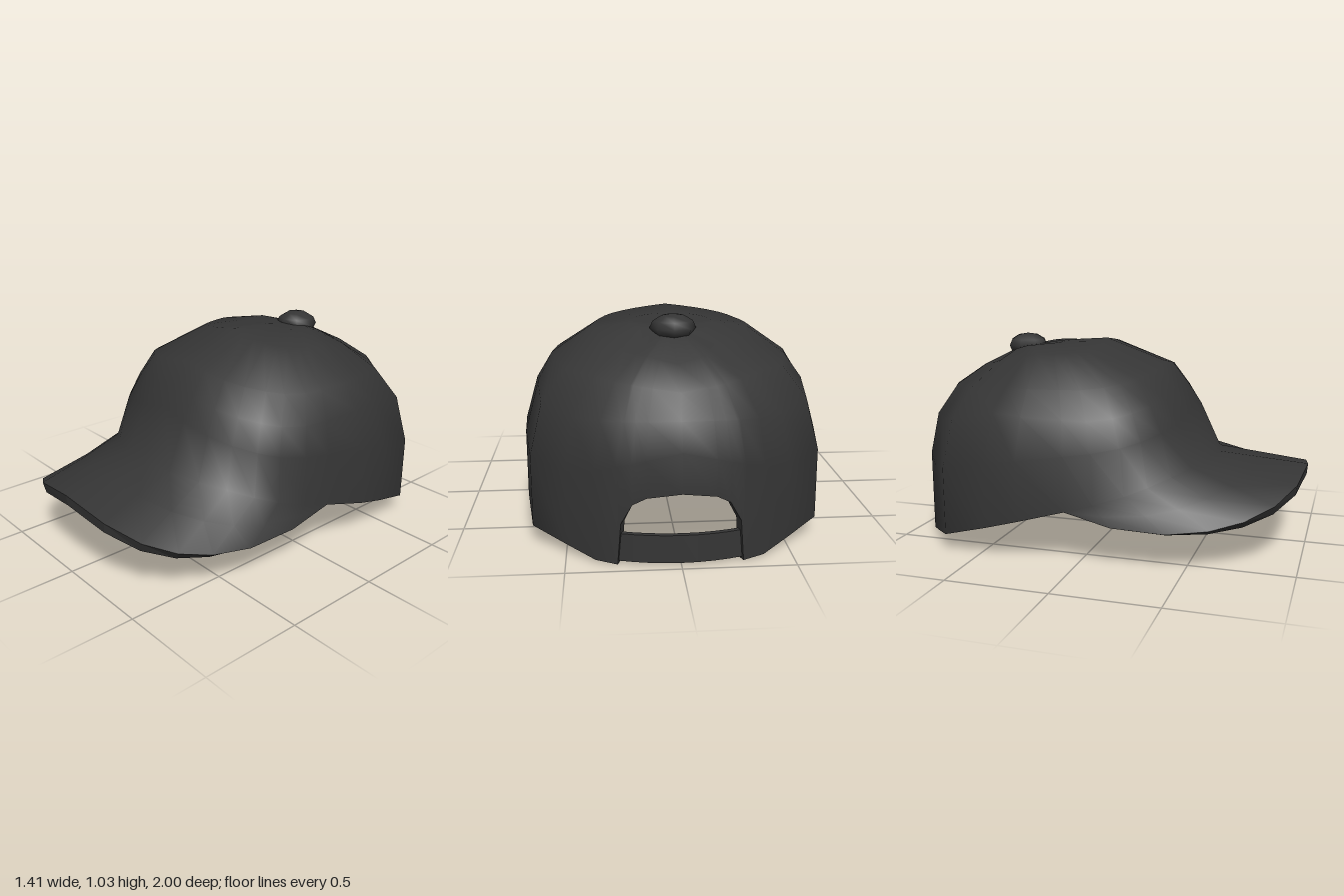
import * as THREE from 'three';

const fabric = new THREE.MeshStandardMaterial({ color: 0x353535 });
fabric.name = 'charcoal fabric';

const APEX = new THREE.Vector3(0, 0.96, -0.5);
const THICKNESS = 0.053;

// Left half of the crown's lower edge, front centre to back centre; the back rises into the arch
const rimHalf = [
  [0, 0.445, 0.54], [0.17, 0.44, 0.525], [0.33, 0.428, 0.475], [0.45, 0.405, 0.405],
  [0.545, 0.372, 0.315], [0.605, 0.338, 0.22], [0.648, 0.297, 0.08], [0.675, 0.26, -0.05],
  [0.705, 0.2, -0.28], [0.69, 0.15, -0.45], [0.655, 0.085, -0.68], [0.5, 0.045, -0.806],
  [0.37, 0.01, -0.903], [0.275, 0, -0.935], [0.26, 0.19, -0.943], [0.21, 0.28, -0.955],
  [0.15, 0.312, -0.967], [0, 0.338, -0.998],
];
// Outer edge of the brim, one point for each of the first rim points
const brimHalf = [
  [0, 0.41, 0.998], [0.27, 0.365, 0.97], [0.43, 0.3, 0.885], [0.53, 0.245, 0.76],
  [0.59, 0.205, 0.61], [0.635, 0.185, 0.42], [0.66, 0.2, 0.17],
];
// Crown profiles by direction; rows are [height, reach from the apex, forward shift]
const profiles = [
  { angle: 0, rows: [[0.995, 0.22, 0], [1.01, 0.43, 0], [0.9, 0.73, 0], [0.8, 0.81, 0], [0.7, 0.88, 0]] },
  { angle: 45, rows: [[0.985, 0.25, 0.01], [0.955, 0.52, 0.02], [0.81, 0.82, 0], [0.67, 0.91, 0], [0.54, 0.97, 0]] },
  { angle: 85, rows: [[0.975, 0.28, 0.06], [0.945, 0.53, 0.12], [0.81, 0.8, 0.08], [0.7, 0.91, 0.04], [0.47, 1, 0]] },
  { angle: 120, rows: [[0.94, 0.2, 0.03], [0.885, 0.45, 0.03], [0.785, 0.72, 0.02], [0.62, 0.92, 0], [0.38, 1, 0]] },
  { angle: 180, rows: [[0.925, 0.2, 0], [0.84, 0.52, 0], [0.75, 0.79, 0], [0.64, 0.91, 0], [0.52, 1, 0]] },
];

const lerp = THREE.MathUtils.lerp;

// Points of one column from below the apex to the rim, then out along the brim
function column(rim, brim) {
  const dx = rim[0] - APEX.x, dz = rim[2] - APEX.z;
  const angle = THREE.MathUtils.radToDeg(Math.atan2(dx, dz));
  const k = Math.max(1, profiles.findIndex((p) => p.angle >= angle));
  const from = profiles[k - 1], to = profiles[k];
  const t = (angle - from.angle) / (to.angle - from.angle);
  const pts = from.rows.map((row, i) => {
    const [y, reach, shift] = row.map((v, j) => lerp(v, to.rows[i][j], t));
    return [APEX.x + dx * reach, y, APEX.z + dz * reach + shift];
  });
  pts.push(rim);
  if (brim) {
    pts.push(rim.map((v, j) => lerp(v, brim[j], 0.5)));
    pts.push(brim);
  }
  return pts;
}

function addMesh(group, geometry, name) {
  const mesh = new THREE.Mesh(geometry, fabric);
  mesh.name = name;
  group.add(mesh);
  return mesh;
}

function makeGeometry(positions, index) {
  const g = new THREE.BufferGeometry();
  g.setAttribute('position', new THREE.Float32BufferAttribute(positions, 3));
  if (index) g.setIndex(index);
  g.computeVertexNormals();
  return g;
}

function buildShell(group) {
  const half = rimHalf.map((r, i) => column(r, brimHalf[i]));
  const mirrored = half.slice(1, -1).reverse().map((c) => c.map(([x, y, z]) => [-x, y, z]));
  const columns = [...half, ...mirrored];
  const n = columns.length;

  // Shared vertices: apex first, then column by column
  const positions = APEX.toArray();
  const starts = columns.map((c) => {
    const start = positions.length / 3;
    c.forEach((p) => positions.push(...p));
    return start;
  });
  const id = (c, r) => (r === 0 ? 0 : starts[c % n] + Math.min(r, columns[c % n].length) - 1);
  const index = [];
  const triangle = (a, b, c) => {
    if (a !== b && b !== c && a !== c) index.push(a, b, c);
  };
  for (let c = 0; c < n; c++) {
    for (let r = 0; r < 8; r++) {
      const a = id(c, r), b = id(c, r + 1), d = id(c + 1, r + 1), e = id(c + 1, r);
      triangle(a, b, d);
      triangle(a, d, e);
    }
  }
  const outer = makeGeometry(positions, index);
  addMesh(group, outer, 'crownAndBrim');

  // Lining: the same surface moved inward and turned around
  const normals = outer.attributes.normal.array;
  const inside = positions.map((v, i) => v - normals[i] * THICKNESS);
  addMesh(group, makeGeometry(inside, index.slice().reverse()), 'lining');

  // Edge strip closing the thickness along brim, rim and rear opening
  const strip = [];
  const at = (list, i) => list.slice(i * 3, i * 3 + 3);
  for (let c = 0; c < n; c++) {
    const i = id(c, 8), j = id(c + 1, 8);
    const o1 = at(positions, i), o2 = at(positions, j);
    const i1 = at(inside, i), i2 = at(inside, j);
    strip.push(...o1, ...i1, ...i2, ...o1, ...i2, ...o2);
  }
  addMesh(group, makeGeometry(strip), 'edge');
}

// Curved band across the rear opening
function buildStrap(group) {
  const outerArc = [], innerArc = [];
  for (let i = 0; i <= 8; i++) {
    const x = -0.28 + i * 0.07;
    const depth = 0.968 - 0.6 * x * x;
    outerArc.push(new THREE.Vector2(x, depth));
    innerArc.unshift(new THREE.Vector2(x, depth - 0.025));
  }
  const shape = new THREE.Shape([...outerArc, ...innerArc]);
  const g = new THREE.ExtrudeGeometry(shape, { depth: 0.127, bevelEnabled: false });
  g.rotateX(-Math.PI / 2);
  g.translate(0, 0.013, 0);
  addMesh(group, g, 'strap');
}

// Low dome on top
function buildButton(group) {
  const g = new THREE.SphereGeometry(0.107, 8, 6);
  g.scale(1, 0.6, 1);
  const button = addMesh(group, g, 'topButton');
  button.position.set(0, 0.961, -0.5);
}

export function createModel() {
  const cap = new THREE.Group();
  cap.name = 'cap';
  buildShell(cap);
  buildStrap(cap);
  buildButton(cap);
  return cap;
}
